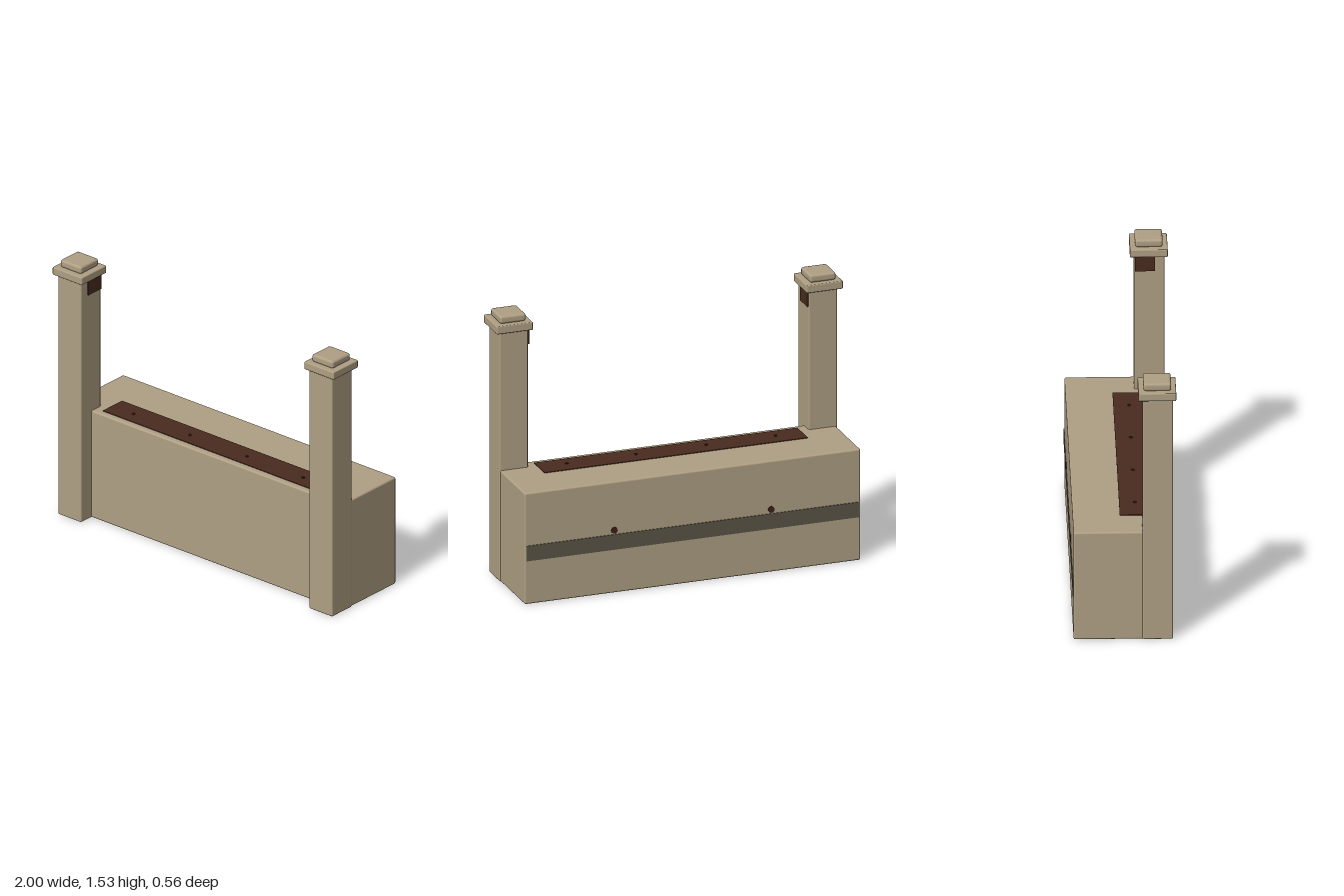
import * as THREE from 'three';
import { RoundedBoxGeometry } from 'three/addons/geometries/RoundedBoxGeometry.js';

export function createModel() {
  const group = new THREE.Group();
  const mat = (name, color) => {
    const m = new THREE.MeshStandardMaterial({ color });
    m.name = name;
    return m;
  };
  const stone = mat('tan stone', 0xb0a084);
  const band = mat('dark band', 0x5c5646);
  const wood = mat('dark brown', 0x4a2b20);
  const stud = mat('stud brown', 0x3a2218);

  const add = (name, geo, material, x, y, z) => {
    const mesh = new THREE.Mesh(geo, material);
    mesh.name = name;
    mesh.position.set(x, y, z);
    group.add(mesh);
    return mesh;
  };
  // Box from min/max extents, with optional eased edges
  const block = (name, material, [x0, x1], [y0, y1], [z0, z1], r = 0) => {
    const s = [x1 - x0, y1 - y0, z1 - z0];
    const geo = r ? new RoundedBoxGeometry(...s, 2, r) : new THREE.BoxGeometry(...s);
    return add(name, geo, material, (x0 + x1) / 2, (y0 + y1) / 2, (z0 + z1) / 2);
  };

  // Main body with the inlaid top panel and the rear band
  block('body', stone, [-0.97, 0.97], [0, 0.642], [-0.275, 0.175], 0.01);
  block('topPanel', wood, [-0.76, 0.76], [0.638, 0.646], [-0.02, 0.14]);
  block('rearBand', band, [-0.96, 0.96], [0.25, 0.338], [-0.279, -0.272]);

  // Studs along the top panel
  for (const x of [-0.605, -0.205, 0.2, 0.6]) {
    add('topStud', new THREE.CylinderGeometry(0.009, 0.009, 0.008, 12), stud, x, 0.647, 0.065);
  }

  // Round knobs on the back
  for (const x of [-0.453, 0.453]) {
    const knob = add('rearKnob', new THREE.CylinderGeometry(0.018, 0.018, 0.012, 16), stud, x, 0.362, -0.276);
    knob.rotation.x = Math.PI / 2;
  }

  // Corner posts with stepped caps and an inner plate
  for (const s of [-1, 1]) {
    const span = (a, b) => (s > 0 ? [a, b] : [-b, -a]);
    block('post', stone, span(0.81, 0.975), [0, 1.445], [0.098, 0.263], 0.008);
    block('postCap', stone, span(0.79, 1.0), [1.44, 1.486], [0.075, 0.28], 0.006);
    block('capTop', stone, span(0.82, 0.97), [1.485, 1.53], [0.103, 0.253], 0.014);
    block('postPlate', wood, span(0.802, 0.811), [1.352, 1.44], [0.103, 0.21]);
  }
  return group;
}
